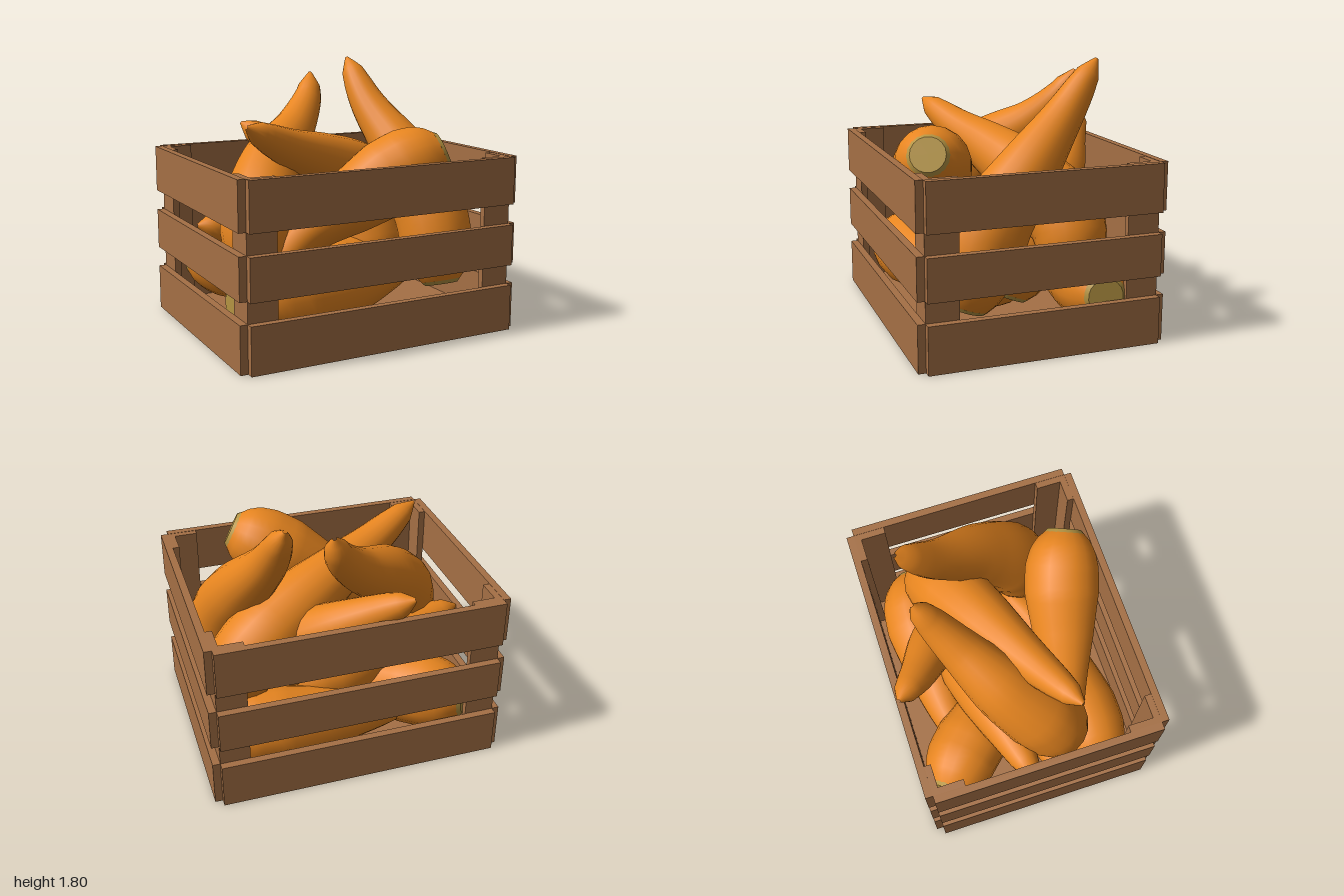
import * as THREE from 'three';
import { mergeVertices } from 'three/addons/utils/BufferGeometryUtils.js';

const wood = new THREE.MeshStandardMaterial({ color: 0xa57045 });
wood.name = 'brown wood';
const orange = new THREE.MeshStandardMaterial({ color: 0xea8720 });
orange.name = 'carrot orange';
const olive = new THREE.MeshStandardMaterial({ color: 0xb79644 });
olive.name = 'olive stem end';

// Radius along a carrot, from stem end (0) to tip (1)
const PROFILE = [[0, 0.135], [0.03, 0.18], [0.08, 0.225], [0.16, 0.255], [0.28, 0.26],
  [0.5, 0.21], [0.7, 0.15], [0.87, 0.105], [0.94, 0.078], [1, 0.012]];

function radiusAt(t) {
  for (let i = 1; i < PROFILE.length; i++) {
    const [t0, r0] = PROFILE[i - 1], [t1, r1] = PROFILE[i];
    if (t <= t1) return THREE.MathUtils.lerp(r0, r1, (t - t0) / (t1 - t0));
  }
  return PROFILE[PROFILE.length - 1][1];
}

function box(name, x0, x1, y0, y1, z0, z1) {
  const mesh = new THREE.Mesh(new THREE.BoxGeometry(x1 - x0, y1 - y0, z1 - z0), wood);
  mesh.position.set((x0 + x1) / 2, (y0 + y1) / 2, (z0 + z1) / 2);
  mesh.name = name;
  return mesh;
}

function makeCrate() {
  const crate = new THREE.Group();
  crate.name = 'crate';
  crate.add(box('floor', -0.95, 0.95, 0, 0.05, -0.77, 0.77));
  // Three rows of slats on all four sides
  for (const [y0, y1] of [[0, 0.312], [0.452, 0.73], [0.87, 1.187]]) {
    crate.add(
      box('frontSlat', -0.95, 0.95, y0, y1, 0.77, 0.82),
      box('backSlat', -0.95, 0.95, y0, y1, -0.82, -0.77),
      box('leftSlat', 0.95, 1, y0, y1, -0.77, 0.77),
      box('rightSlat', -1, -0.95, y0, y1, -0.77, 0.77));
  }
  // L-shaped corner posts
  for (const sx of [-1, 1]) for (const sz of [-1, 1]) {
    const post = new THREE.Group();
    post.name = 'cornerPost';
    const wide = box('postWide', 0.75, 0.95, 0.05, 1.185, 0.725, 0.77);
    const side = box('postSide', 0.905, 0.95, 0.05, 1.185, 0.555, 0.725);
    for (const m of [wide, side]) {
      m.position.x *= sx;
      m.position.z *= sz;
      post.add(m);
    }
    crate.add(post);
  }
  return crate;
}

function makeCarrot(points) {
  const carrot = new THREE.Group();
  carrot.name = 'carrot';
  const curve = new THREE.CatmullRomCurve3(points.map(p => new THREE.Vector3(...p)));
  const rings = 32, sides = 18;

  // Body: a tube whose rings follow the carrot profile
  let geo = new THREE.TubeGeometry(curve, rings, 1, sides, false);
  const pos = geo.attributes.position, v = new THREE.Vector3();
  for (let i = 0; i <= rings; i++) {
    const centre = curve.getPointAt(i / rings), r = radiusAt(i / rings);
    for (let j = 0; j <= sides; j++) {
      const k = i * (sides + 1) + j;
      v.fromBufferAttribute(pos, k).sub(centre).multiplyScalar(r).add(centre);
      pos.setXYZ(k, v.x, v.y, v.z);
    }
  }
  geo.deleteAttribute('uv');
  geo.deleteAttribute('normal');
  geo = mergeVertices(geo);
  geo.computeVertexNormals();
  const body = new THREE.Mesh(geo, orange);
  body.name = 'carrotBody';

  // Stem end: short bevelled disc
  const cap = new THREE.Mesh(new THREE.CylinderGeometry(0.115, 0.138, 0.025, sides), olive);
  const out = curve.getTangentAt(0).negate();
  cap.quaternion.setFromUnitVectors(new THREE.Vector3(0, 1, 0), out);
  cap.position.copy(curve.getPointAt(0)).addScaledVector(out, 0.01);
  cap.name = 'stemEnd';
  carrot.add(body, cap);
  return carrot;
}

// Carrot centre lines, stem end first
const CARROTS = [
  // upper pile
  [[0.66, 0.28, 0.41], [0.65, 0.75, 0.27], [0.6, 1.1, 0], [0.48, 1.47, -0.33], [0.43, 1.79, -0.56]],
  [[0.74, 0.46, -0.25], [0.64, 0.74, -0.28], [0.33, 0.96, -0.18], [-0.05, 1.13, -0.02], [-0.4, 1.26, 0.14], [-0.74, 1.42, 0.29]],
  [[-0.64, 0.45, 0.24], [-0.59, 0.78, 0.13], [-0.4, 1.09, -0.11], [-0.1, 1.33, -0.34], [0.06, 1.52, -0.47], [0.12, 1.69, -0.55]],
  [[0.5, 1.235, 0.61], [0.28, 1.125, 0.52], [0, 0.95, 0.44], [-0.35, 0.72, 0.36], [-0.62, 0.42, 0.33]],
  [[0.36, 0.22, 0.02], [0.32, 0.65, -0.15], [0.1, 0.97, -0.45], [-0.15, 1.17, -0.64], [-0.33, 1.32, -0.8]],
  // bottom layer
  [[-0.9, 0.32, 0.45], [-0.6, 0.33, 0.46], [-0.1, 0.34, 0.42], [0.25, 0.37, 0.33], [0.58, 0.4, 0.18]],
  [[0.9, 0.33, -0.43], [0.6, 0.32, -0.48], [0.2, 0.3, -0.49], [-0.2, 0.28, -0.48], [-0.6, 0.25, -0.4]],
  [[-0.77, 0.38, -0.66], [-0.58, 0.36, -0.5], [-0.3, 0.33, -0.22], [0, 0.28, 0.05], [0.3, 0.25, 0.28]],
  [[0.35, 0.42, -0.2], [0, 0.48, -0.2], [-0.4, 0.62, -0.17], [-0.95, 0.74, -0.08]],
  [[0.35, 0.32, 0.04], [0, 0.33, 0.05], [-0.4, 0.4, 0.1], [-0.89, 0.52, 0.11]],
];

export function createModel() {
  const model = new THREE.Group();
  model.name = 'carrotCrate';
  model.add(makeCrate());
  for (const points of CARROTS) model.add(makeCarrot(points));
  return model;
}
